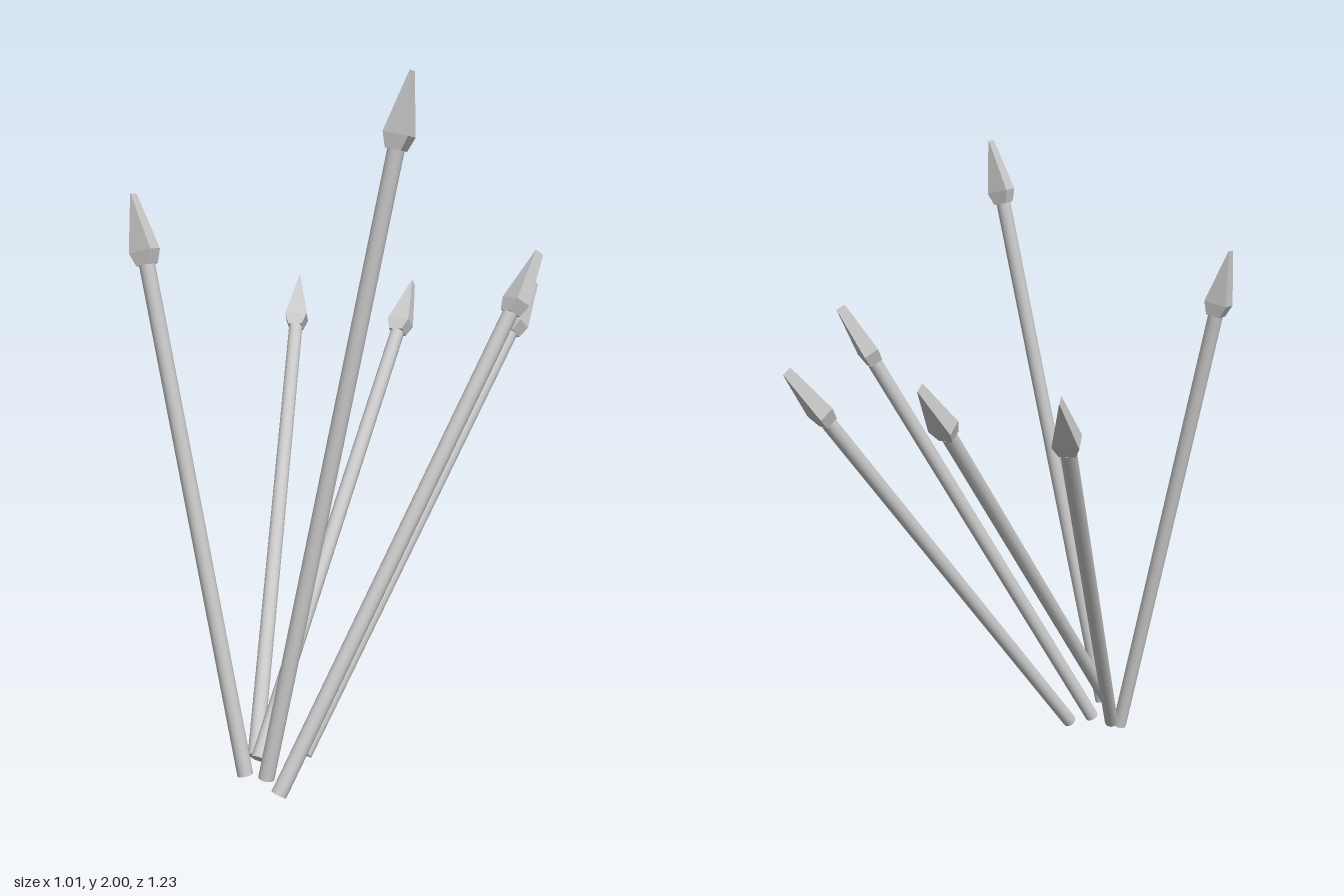
import * as THREE from 'three';
import { ConvexGeometry } from 'three/addons/geometries/ConvexGeometry.js';

const RADIUS = 0.023;
const HEAD = 0.205;

// Spearhead: rectangular sections [height, half width, half thickness]
function headGeometry() {
  const sections = [[0, 0.023, 0.021], [0.04, 0.037, 0.025], [HEAD, 0.001, 0.015]];
  const points = [];
  for (const [y, w, t] of sections)
    for (const sx of [-1, 1])
      for (const sz of [-1, 1]) points.push(new THREE.Vector3(sx * w, y, sz * t));
  return new ConvexGeometry(points);
}

// One spear from its butt to its tip; upright ones keep the blade facing front
function makeSpear(base, tip, upright, headGeo, material) {
  const start = new THREE.Vector3(...base);
  const dir = new THREE.Vector3(...tip).sub(start);
  const shaftLength = dir.length() - HEAD;
  dir.normalize();
  const side = upright
    ? new THREE.Vector3(dir.y, -dir.x, 0).normalize()
    : new THREE.Vector3(-dir.z, 0, dir.x).normalize();
  const facing = new THREE.Vector3().crossVectors(side, dir);

  const spear = new THREE.Group();
  spear.name = 'spear';
  const shaft = new THREE.Mesh(
    new THREE.CylinderGeometry(RADIUS, RADIUS, shaftLength, 12), material);
  shaft.name = 'shaft';
  shaft.position.y = shaftLength / 2;
  const head = new THREE.Mesh(headGeo, material);
  head.name = 'spearhead';
  head.position.y = shaftLength;
  spear.add(shaft, head);

  spear.quaternion.setFromRotationMatrix(new THREE.Matrix4().makeBasis(side, dir, facing));
  spear.position.copy(start);
  return spear;
}

export function createModel() {
  const group = new THREE.Group();
  group.name = 'spearTrap';
  const material = new THREE.MeshStandardMaterial({ color: 0xcccccc });
  const headGeo = headGeometry();

  // Butt, tip, and whether the spear stands nearly upright
  const spears = [
    [[-0.14, 0.07, 0.455], [-0.5, 1.41, -0.53], false],
    [[-0.08, 0.1, 0.54], [-0.08, 1.4, -0.55], false],
    [[-0.018, 0.07, 0.38], [0.335, 1.41, -0.603], false],
    [[-0.005, 0.015, 0.562], [0.495, 1.52, -0.16], false],
    [[-0.028, 0.07, 0.592], [0.353, 2.0, 0.467], true],
    [[-0.14, 0.034, 0.515], [-0.5, 1.69, 0.485], true],
  ];
  for (const [base, tip, upright] of spears)
    group.add(makeSpear(base, tip, upright, headGeo, material));
  return group;
}
